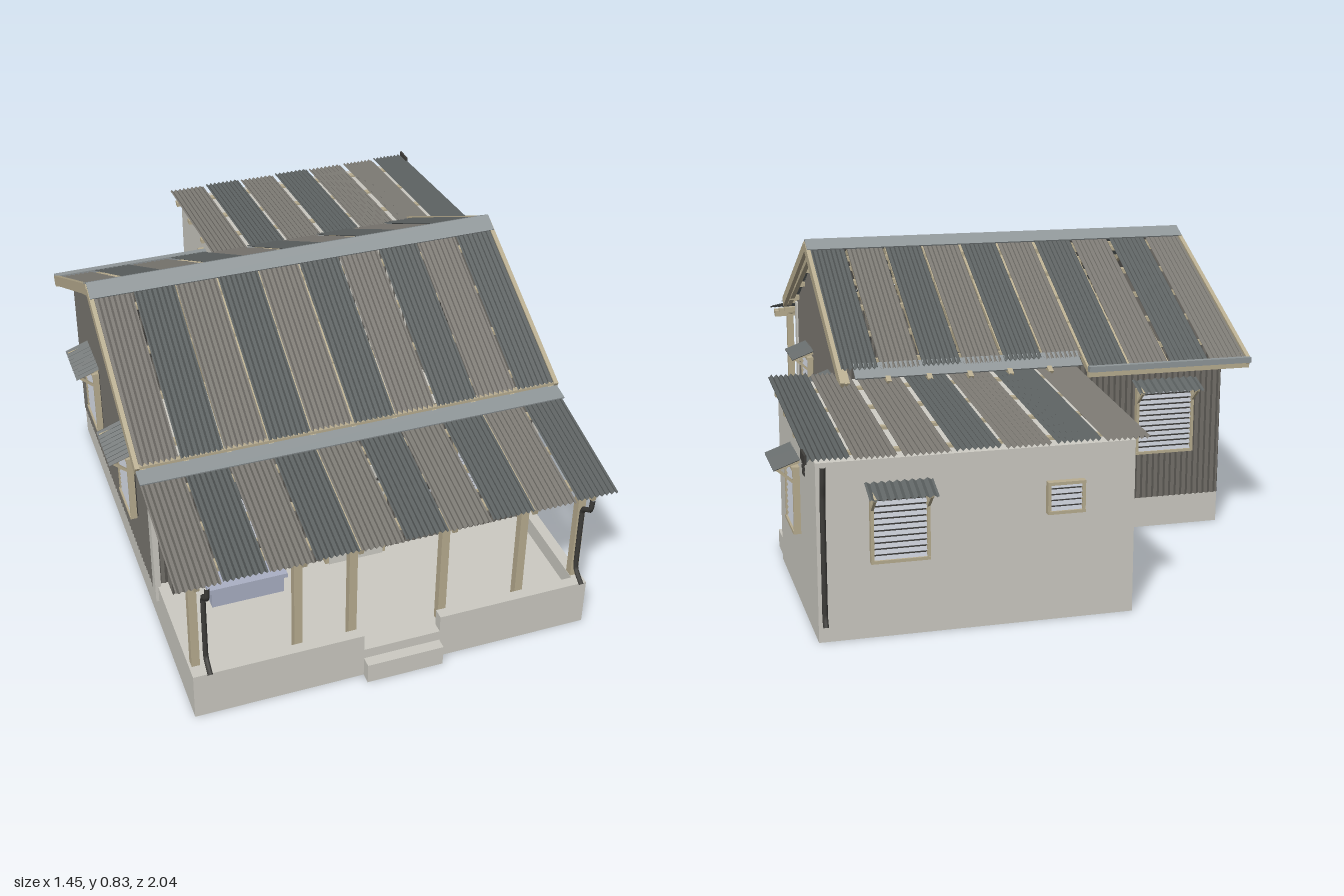
import * as THREE from 'three';

const mat = (color, extra = {}) => {
  const m = new THREE.MeshStandardMaterial({ color, ...extra });
  return m;
};
const sheetOpts = { side: THREE.DoubleSide, flatShading: true };
const M = {
  concrete: mat(0xcccac2), wood: mat(0xb8ad90), door: mat(0xcfcec6), dark: mat(0x3e3d3a),
  slat: mat(0xb9bdc6), flashing: mat(0x8f9698), bench: mat(0xaab0c4),
  siding: mat(0x6d6a64, sheetOpts), warm: mat(0x7f7c76, sheetOpts), cool: mat(0x5f6464, sheetOpts),
};

function add(parent, name, geo, material) {
  const m = new THREE.Mesh(geo, material);
  m.name = name;
  parent.add(m);
  return m;
}

// Box given by its limits
function box(parent, name, material, x0, x1, y0, y1, z0, z1) {
  const m = add(parent, name, new THREE.BoxGeometry(x1 - x0, y1 - y0, z1 - z0), material);
  m.position.set((x0 + x1) / 2, (y0 + y1) / 2, (z0 + z1) / 2);
  return m;
}

// Square-cut timber running from p to q
function beam(parent, name, material, p, q, w, h = w) {
  const a = new THREE.Vector3(...p), b = new THREE.Vector3(...q);
  const m = add(parent, name, new THREE.BoxGeometry(w, h, a.distanceTo(b)), material);
  m.position.copy(a).lerp(b, 0.5);
  m.lookAt(b);
  return m;
}

// Corrugated sheet: place(u, v, ripple) maps 0..1 coordinates to a point
function corrugated(parent, name, material, ridges, amp, place) {
  const g = new THREE.PlaneGeometry(1, 1, ridges * 4, 1);
  const p = g.attributes.position;
  for (let i = 0; i < p.count; i++) {
    const u = p.getX(i) + 0.5, v = p.getY(i) + 0.5;
    p.setXYZ(i, ...place(u, v, amp * Math.sin(u * ridges * Math.PI * 2)));
  }
  g.computeVertexNormals();
  return add(parent, name, g, material);
}

// Row of roof sheets between an upper and a lower [z, y] edge
function roofRow(parent, name, x0, x1, n, top, bottom, gap = 0.004) {
  const w = (x1 - x0) / n;
  for (let i = 0; i < n; i++) {
    const lift = i % 2 ? 0.003 : 0;
    corrugated(parent, name, i % 2 ? M.cool : M.warm, 8, 0.004, (u, v, r) => [
      x0 + i * w + gap / 2 + u * (w - gap),
      bottom[1] + (top[1] - bottom[1]) * v + r + lift,
      bottom[0] + (top[0] - bottom[0]) * v]);
  }
}

// Timber purlins along x below a roof slope
function purlins(parent, x0, x1, top, bottom, n) {
  for (let i = 0; i < n; i++) {
    const t = (i + 0.5) / n;
    const z = top[0] + (bottom[0] - top[0]) * t, y = top[1] + (bottom[1] - top[1]) * t - 0.016;
    box(parent, 'purlin', M.wood, x0, x1, y - 0.007, y + 0.007, z - 0.01, z + 0.01);
  }
}

// Louvred window with optional tin hood, facing +z about its centre
function louvreWindow(parent, w, h, x, y, z, turn, hood = true) {
  const g = new THREE.Group();
  g.name = 'louvreWindow';
  const f = 0.008, W = w / 2, H = h / 2;
  box(g, 'windowPane', M.dark, -W, W, -H, H, -0.004, 0.005);
  for (const s of [-1, 1]) {
    box(g, 'windowJamb', M.wood, s * W - f / 2, s * W + f / 2, -H, H, 0, 0.018);
    box(g, 'windowRail', M.wood, -W - f / 2, W + f / 2, s * H - f / 2, s * H + f / 2, 0, 0.02);
  }
  const n = Math.round(h / 0.016);
  for (let i = 0; i < n; i++) {
    const s = box(g, 'louvre', M.slat, -W + f / 2, W - f / 2, -0.0055, 0.0055, -0.0015, 0.0015);
    s.position.set(0, -H + (i + 0.5) * h / n, 0.011);
    s.rotation.x = -0.5;
  }
  if (hood) {
    corrugated(g, 'windowHood', M.cool, 9, 0.003, (u, v, r) =>
      [(u - 0.5) * (w + 0.03), H + 0.002 + v * 0.025 + r, 0.068 - v * 0.068]);
    for (const s of [-1, 1]) {
      beam(g, 'hoodBrace', M.wood, [s * W, H - 0.045, 0.005], [s * W, H + 0.002, 0.058], 0.007);
      beam(g, 'hoodArm', M.wood, [s * W, H + 0.018, 0], [s * W, H, 0.062], 0.007);
    }
  }
  g.position.set(x, y, z);
  g.rotation.y = turn;
  parent.add(g);
}

// Door with frame, hinges and handle, on a wall facing +z
function door(parent, x0, x1, y0, y1, z) {
  box(parent, 'doorFrame', M.wood, x0 - 0.01, x1 + 0.01, y0, y1 + 0.01, z - 0.01, z + 0.01);
  box(parent, 'doorLeaf', M.door, x0, x1, y0, y1, z, z + 0.014);
  for (const t of [0.15, 0.5, 0.85]) {
    const y = y0 + (y1 - y0) * t;
    box(parent, 'hinge', M.dark, x1 - 0.025, x1, y - 0.004, y + 0.004, z + 0.01, z + 0.018);
  }
  const y = y0 + (y1 - y0) * 0.47;
  box(parent, 'doorPlate', M.dark, x0 + 0.012, x0 + 0.02, y - 0.014, y + 0.014, z + 0.01, z + 0.018);
  box(parent, 'doorHandle', M.dark, x0 + 0.012, x0 + 0.035, y - 0.003, y + 0.003, z + 0.016, z + 0.024);
}

function pipe(parent, points) {
  const curve = new THREE.CatmullRomCurve3(points.map(p => new THREE.Vector3(...p)), false, 'catmullrom', 0.1);
  add(parent, 'drainPipe', new THREE.TubeGeometry(curve, 24, 0.007, 8), M.dark);
}

export function createModel() {
  const root = new THREE.Group();
  root.name = 'house';
  const L = -0.65, R = 0.46, F = 0.6, B = -0.35, RL = -0.69, RR = 0.505, ridgeZ = 0.12, ridgeY = 0.82;
  const roofY = z => ridgeY - Math.abs(z - ridgeZ) * 0.52;
  const at = z => [z, roofY(z)];

  // Slab, porch parapet and steps
  box(root, 'slab', M.concrete, L, R, 0, 0.09, B, 0.97);
  box(root, 'porchParapet', M.concrete, L, -0.185, 0.09, 0.14, 0.94, 0.97);
  box(root, 'porchParapet', M.concrete, 0.03, R, 0.09, 0.14, 0.94, 0.97);
  box(root, 'porchParapet', M.concrete, L, L + 0.03, 0.09, 0.14, F, 0.94);
  box(root, 'porchParapet', M.concrete, R - 0.03, R, 0.09, 0.14, F, 0.94);
  box(root, 'porchStep', M.concrete, -0.185, 0.03, 0, 0.06, 0.97, 1);

  // Corrugated walls, gables following the roof
  for (const z of [F, B]) corrugated(root, 'wall', M.siding, 62, 0.003, (u, v, r) =>
    [L + u * (R - L), 0.09 + v * (roofY(z) - 0.1), z + r]);
  for (const x of [L, R]) corrugated(root, 'gableWall', M.siding, 52, 0.003, (u, v, r) => {
    const z = F + u * (B - F);
    return [x + r, 0.09 + v * (roofY(z) - 0.1), z];
  });
  for (const x of [L, R]) box(root, 'cornerBoard', M.concrete, x - 0.008, x + 0.008, 0.09, 0.555, 0.58, 0.612);

  // Main roof
  const ridge = [ridgeZ, ridgeY];
  roofRow(root, 'frontRoofSheet', RL, RR, 10, ridge, at(0.62));
  roofRow(root, 'backRoofSheet', RL, -0.2, 4, ridge, at(-0.46), 0.008);
  roofRow(root, 'backRoofSheet', -0.2, RR, 6, ridge, at(-0.41), 0.008);
  purlins(root, RL + 0.01, RR - 0.01, ridge, at(0.62), 4);
  purlins(root, RL + 0.01, RR - 0.01, ridge, at(-0.41), 5);
  for (const [z, dz] of [[0.165, 0.045], [0.075, -0.045]])
    beam(root, 'ridgeCap', M.flashing, [(RL + RR) / 2, ridgeY + 0.011, ridgeZ], [(RL + RR) / 2, roofY(z) + 0.009, ridgeZ + dz], RR - RL, 0.004);
  for (const x of [RL + 0.004, RR - 0.004]) for (const z of [0.62, -0.46])
    beam(root, 'bargeBoard', M.wood, [x, ridgeY - 0.008, ridgeZ], [x, roofY(z) - 0.008, z], 0.012, 0.03);
  box(root, 'frontFascia', M.wood, RL, RR, 0.548, 0.564, 0.605, 0.62);
  box(root, 'backFascia', M.wood, RL, -0.2, 0.495, 0.512, -0.458, -0.446);
  box(root, 'backGutter', M.flashing, RL, -0.2, 0.512, 0.528, -0.473, -0.455);
  for (let i = 0; i < 11; i++) {
    const x = RL + 0.02 + i * (RR - RL - 0.04) / 10;
    for (const z of [0.625, -0.45])
      beam(root, 'rafter', M.wood, [x, ridgeY - 0.03, ridgeZ], [x, roofY(z) - 0.012, z], 0.014, 0.016);
  }

  // Porch roof on posts
  const pTop = [0.615, 0.545], pLow = [1, 0.463];
  roofRow(root, 'porchRoofSheet', RL, RR, 10, pTop, pLow);
  purlins(root, RL + 0.01, RR - 0.01, pTop, pLow, 3);
  beam(root, 'porchFlashing', M.flashing, [(RL + RR) / 2, 0.555, 0.615], [(RL + RR) / 2, 0.545, 0.67], RR - RL, 0.004);
  box(root, 'porchBeam', M.wood, RL + 0.01, RR - 0.01, 0.446, 0.466, 0.91, 0.93);
  for (const x of [-0.632, -0.355, -0.205, 0.05, 0.275, 0.442]) {
    box(root, 'porchPost', M.wood, x - 0.011, x + 0.011, 0.09, 0.455, 0.908, 0.932);
    beam(root, 'porchRafter', M.wood, [x, 0.525, 0.6], [x, 0.447, 0.985], 0.014, 0.018);
  }
  for (const x of [-0.608, 0.437])
    pipe(root, [[x, 0.45, 0.99], [x, 0.41, 0.985], [x, 0.38, 0.945], [x, 0.18, 0.945], [x, 0.15, 0.985]]);

  // Front door, bench and tool rack
  door(root, -0.16, 0, 0.09, 0.41, F + 0.008);
  box(root, 'benchSeat', M.bench, -0.53, -0.305, 0.142, 0.156, 0.62, 0.69);
  box(root, 'benchBase', M.bench, -0.52, -0.315, 0.09, 0.142, 0.625, 0.685);
  box(root, 'toolRack', M.wood, 0.08, 0.18, 0.315, 0.325, F, F + 0.02);
  for (const x of [0.105, 0.132, 0.16]) {
    box(root, 'toolHandle', M.dark, x - 0.003, x + 0.003, 0.275, 0.33, F + 0.018, F + 0.024);
    box(root, 'toolHead', M.slat, x - 0.008, x + 0.008, 0.252, 0.28, F + 0.018, F + 0.023);
  }

  // Main house windows
  for (const x of [-0.422, 0.275]) louvreWindow(root, 0.125, 0.19, x, 0.335, F + 0.004, 0);
  for (const z of [0.34, -0.09]) {
    louvreWindow(root, 0.135, 0.2, R + 0.004, 0.33, z, Math.PI / 2);
    louvreWindow(root, 0.135, 0.2, L - 0.004, 0.33, z, -Math.PI / 2);
  }
  louvreWindow(root, 0.17, 0.19, -0.47, 0.33, B - 0.004, Math.PI);

  // Rear annex with sloping top
  const AL = -0.15, AR = 0.66, AB = -0.97;
  const annexY = z => 0.518 + (z - B) * 0.082;
  const annex = box(root, 'annexWalls', M.concrete, AL, AR, 0, 0.5, AB, B);
  const p = annex.geometry.attributes.position;
  for (let i = 0; i < p.count; i++)
    if (p.getY(i) > 0) p.setY(i, annexY(p.getZ(i) + annex.position.z) - annex.position.y - 0.012);
  annex.geometry.computeVertexNormals();
  const aLow = [-1, annexY(-1) + 0.004];
  const aTop = z => [z, annexY(z) + 0.004];
  roofRow(root, 'annexRoofSheet', -0.185, 0.455, 5, aTop(-0.39), aLow, 0.01);
  roofRow(root, 'annexRoofSheet', 0.46, 0.69, 2, aTop(-0.34), aLow, 0.008);
  purlins(root, -0.18, 0.68, aTop(-0.36), aLow, 4);
  beam(root, 'annexFlashing', M.flashing, [0.135, 0.556, -0.385], [0.135, 0.525, -0.435], 0.65, 0.004);
  box(root, 'annexEdge', M.dark, 0.684, 0.69, 0.462, 0.485, -1, -0.94);
  box(root, 'annexStep', M.concrete, 0.47, 0.655, 0, 0.05, B, -0.24);
  door(root, 0.485, 0.635, 0.05, 0.37, B);
  louvreWindow(root, 0.14, 0.17, AR, 0.285, -0.645, Math.PI / 2);
  louvreWindow(root, 0.14, 0.17, 0.457, 0.285, AB, Math.PI);
  louvreWindow(root, 0.09, 0.075, 0.035, 0.325, AB, Math.PI, false);
  louvreWindow(root, 0.09, 0.075, AL, 0.365, -0.64, -Math.PI / 2, false);
  // Small pierced vent
  for (let i = 0; i < 9; i++) {
    const y = 0.377 + Math.floor(i / 3) * 0.013, z = -0.813 + (i % 3) * 0.013;
    box(root, 'ventHole', M.dark, AR - 0.002, AR + 0.003, y, y + 0.009, z, z + 0.009);
  }
  pipe(root, [[0.645, 0.45, -0.99], [0.645, 0.4, -0.985], [0.645, 0.37, -0.978], [0.645, 0.07, -0.978], [0.645, 0.045, -0.99]]);
  return root;
}
